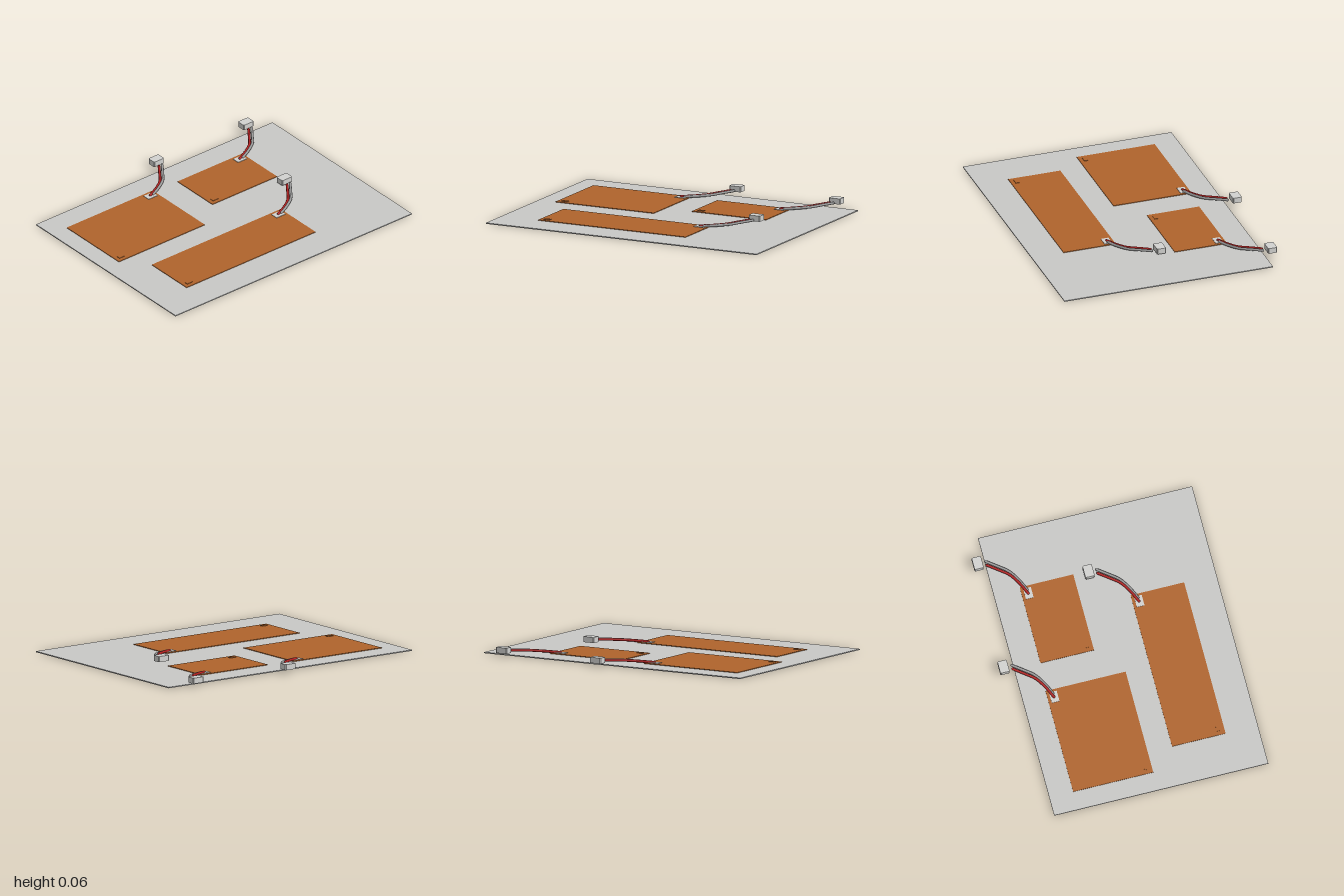
import * as THREE from 'three';

const material = (name, color) => {
  const m = new THREE.MeshStandardMaterial({ color });
  m.name = name;
  return m;
};

export function createModel() {
  const sheetGrey = material('sheet grey', 0xc8c8c6);
  const copper = material('copper orange', 0xb0642c);
  const white = material('tab and plug white', 0xd2d2d0);
  const red = material('wire red', 0xb02020);
  const grey = material('wire grey', 0x9a9a9a);

  const model = new THREE.Group();
  model.name = 'heaterPadSheet';

  const add = (parent, name, geometry, mat, x = 0, y = 0, z = 0) => {
    const mesh = new THREE.Mesh(geometry, mat);
    mesh.name = name;
    mesh.position.set(x, y, z);
    parent.add(mesh);
    return mesh;
  };
  const box = (w, h, d) => new THREE.BoxGeometry(w, h, d);

  // Thin backing sheet
  const sheetTop = 0.007;
  add(model, 'backingSheet', box(2, sheetTop, 1.452), sheetGrey, 0, sheetTop / 2, 0.049);

  // Wire shape, relative to the back right corner of a pad
  const wire = (shift) => new THREE.TubeGeometry(
    new THREE.CatmullRomCurve3([
      [-0.055, 0.015, 0.043], [0.02, 0.020, 0.008], [0.095, 0.026, -0.042],
      [0.145, 0.032, -0.105], [0.195, 0.037, -0.173],
    ].map(([x, y, z]) => new THREE.Vector3(x + shift, y, z))), 20, 0.009, 8);

  // Plug body: a lying block with chamfered upright edges
  const plugShape = () => {
    const w = 0.042, d = 0.031, c = 0.005;
    const s = new THREE.Shape([
      [-w + c, -d], [w - c, -d], [w, -d + c], [w, d - c],
      [w - c, d], [-w + c, d], [-w, d - c], [-w, -d + c],
    ].map(([x, y]) => new THREE.Vector2(x, y)));
    return new THREE.ExtrudeGeometry(s, { depth: 0.038, bevelEnabled: false }).rotateX(-Math.PI / 2);
  };

  // Each pad: left, right, back and front limits
  const pads = [
    ['backLeftPad', -0.872, -0.146, -0.515, 0.028],
    ['backRightPad', 0.052, 0.598, -0.498, -0.135],
    ['frontPad', -0.728, 0.362, 0.193, 0.556],
  ];
  for (const [name, left, right, back, front] of pads) {
    const w = right - left, d = front - back;
    const unit = new THREE.Group();
    unit.name = name;
    unit.position.set(right, 0, back);
    model.add(unit);

    add(unit, 'heaterFilm', box(w, 0.004, d), copper, -w / 2, sheetTop + 0.002, d / 2);
    // Raised sensor patch at the far corner
    add(unit, 'sensorPatch', box(0.045, 0.004, 0.025), copper, -w + 0.05, 0.012, d - 0.04);
    add(unit, 'solderTab', box(0.075, 0.004, 0.052), white, -0.054, 0.012, 0.045);
    add(unit, 'redWire', wire(0), red);
    add(unit, 'greyWire', wire(0.026), grey);
    // Wire ends closed with small round caps
    for (const [shift, mat] of [[0, red], [0.026, grey]]) {
      for (const [x, y, z] of [[-0.055, 0.015, 0.043], [0.195, 0.037, -0.173]])
        add(unit, 'wireEnd', new THREE.SphereGeometry(0.009, 8, 6), mat, x + shift, y, z);
    }
    add(unit, 'plug', plugShape(), white, 0.217, 0.025, -0.229);
  }
  return model;
}
